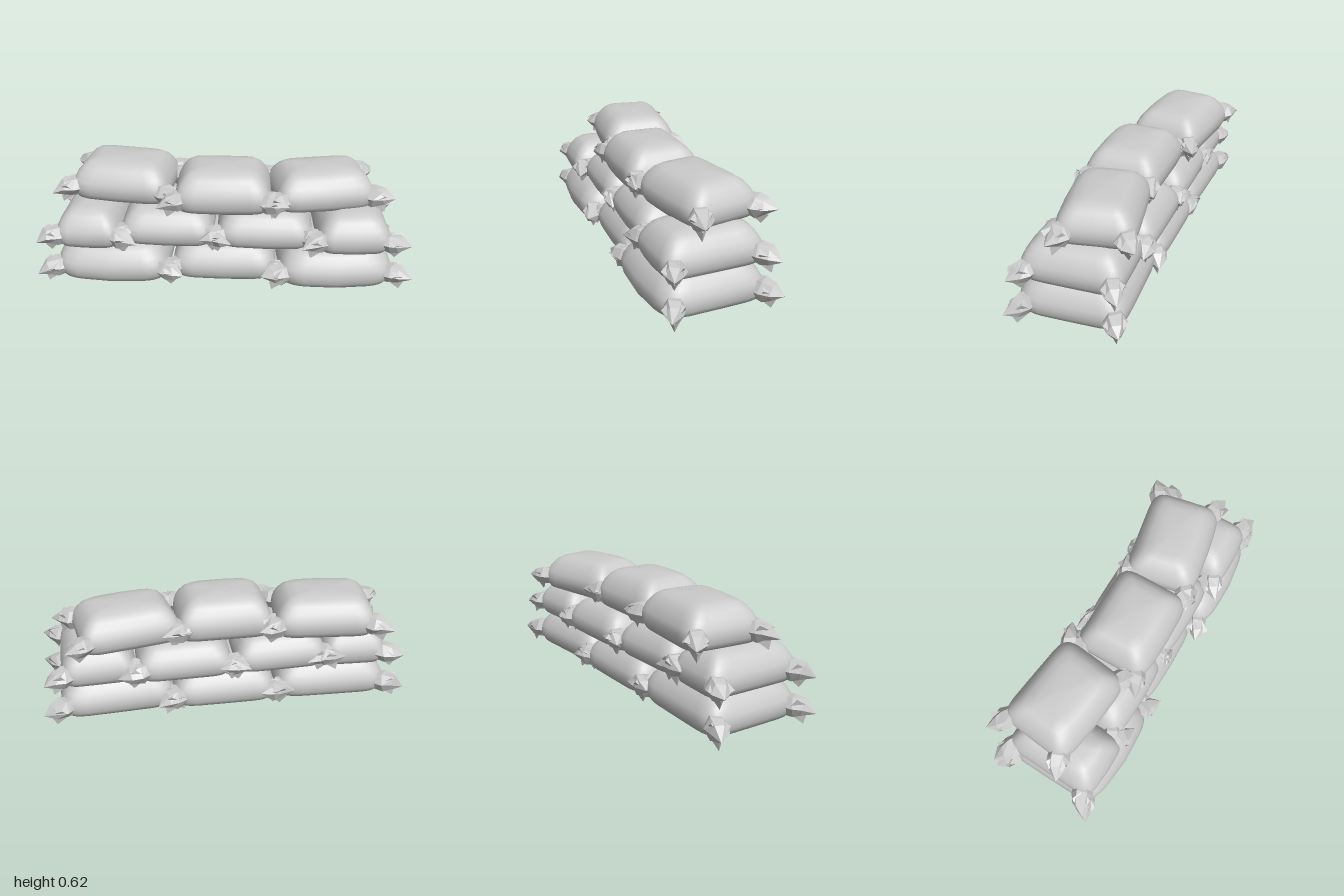
import * as THREE from 'three';

const smooth = new THREE.MeshStandardMaterial({ color: 0xcccccc });
const faceted = new THREE.MeshStandardMaterial({ color: 0xcccccc, flatShading: true, side: THREE.DoubleSide });

// Small seeded generator for the crumpled cloth
let seed = 7;
const rand = (a, b) => {
  seed = (seed * 16807) % 2147483647;
  return a + (b - a) * (seed / 2147483647);
};

function makeGeometry(positions, index) {
  const g = new THREE.BufferGeometry();
  g.setAttribute('position', new THREE.Float32BufferAttribute(positions, 3));
  g.setIndex(index);
  g.computeVertexNormals();
  return g;
}

// Bag profile: [inset from the outline, height fraction]
const PROFILE = [
  [0.02, 0], [0.006, 0.14], [0, 0.32], [0.007, 0.48], [0.025, 0.66],
  [0.05, 0.82], [0.08, 0.93], [0.125, 0.985],
];

// Filled sack: squarish rings stacked along the profile, flat underneath;
// belly pushes out the middle of its front
function sackGeometry(w, h, d, belly) {
  const n = 40, pos = [], idx = [];
  const bend = (v) => Math.sign(v) * Math.abs(v) ** 0.29;
  for (const [inset, y] of PROFILE) {
    for (let i = 0; i < n; i++) {
      const a = (i / n) * Math.PI * 2;
      const u = bend(Math.cos(a)), v = bend(Math.sin(a));
      const push = v > 0 ? belly * v * (1 - u * u) : 0;
      pos.push(u * (w / 2 - inset), y * h, v * (d / 2 - inset) + push);
    }
  }
  for (let r = 0; r < PROFILE.length - 1; r++) {
    for (let i = 0; i < n; i++) {
      const a = r * n + i, b = r * n + ((i + 1) % n);
      idx.push(a, a + n, b, b, a + n, b + n);
    }
  }
  // Centre points close the top and the bottom
  const top = PROFILE.length * n, last = top - n;
  pos.push(0, h * 1.01, 0, 0, 0, 0);
  for (let i = 0; i < n; i++) {
    const j = (i + 1) % n;
    idx.push(last + i, top, last + j, i, j, top + 1);
  }
  return makeGeometry(pos, idx);
}

// Gathered corner: a crumpled knot along +z with three broad folded petals
function earGeometry() {
  const n = 6, pos = [], idx = [];
  const loops = [[0.05, -0.04], [0.058, 0.02], [0.044, 0.07]];
  for (const [r, z] of loops) {
    for (let i = 0; i < n; i++) {
      const a = (i / n) * Math.PI * 2, k = r * rand(0.88, 1.12);
      pos.push(Math.cos(a) * k, Math.sin(a) * k, z + rand(-0.012, 0.012));
    }
  }
  for (let r = 0; r < loops.length - 1; r++) {
    for (let i = 0; i < n; i++) {
      const a = r * n + i, b = r * n + ((i + 1) % n);
      idx.push(a, b, a + n, b, b + n, a + n);
    }
  }
  const tip = pos.length / 3;
  pos.push(rand(-0.02, 0.02), rand(-0.03, 0.01), 0.13);
  for (let i = 0; i < n; i++) idx.push(tip - n + i, tip - n + ((i + 1) % n), tip);
  // Petals: two triangles folded along a ridge, the first hanging down
  for (let p = 0; p < 3; p++) {
    const a = -Math.PI / 2 + p * (Math.PI * 2 / 3) + (p ? rand(-0.4, 0.4) : 0);
    const at = (ang, r, z) => pos.push(Math.cos(ang) * r, Math.sin(ang) * r, z);
    const s = pos.length / 3;
    at(a - 0.75, 0.05, 0.015);
    at(a, 0.035, 0.085);
    at(a + 0.75, 0.05, 0.015);
    at(a, p ? rand(0.056, 0.066) : 0.085, rand(0.04, 0.08));
    idx.push(s, s + 3, s + 1, s + 1, s + 3, s + 2);
  }
  return makeGeometry(pos, idx);
}

function makeBag(name, { x, y, z, w, h, d, turn = 0, tilt = 0, belly = 0.012 }) {
  const bag = new THREE.Group();
  bag.name = name;
  const sack = new THREE.Mesh(sackGeometry(w, h, d, belly), smooth);
  sack.name = 'sack';
  bag.add(sack);
  for (const sx of [-1, 1]) {
    for (const sz of [-1, 1]) {
      const ear = new THREE.Mesh(earGeometry(), faceted);
      ear.name = 'tiedCorner';
      ear.position.set(sx * (w / 2 - 0.025), 0.29 * h, sz * (d / 2 - 0.045));
      ear.rotation.y = Math.atan2(sx * 2.1, sz);
      bag.add(ear);
    }
  }
  bag.position.set(x, y, z);
  bag.rotation.set(0, turn, tilt);
  return bag;
}

// Rows of bags from bottom to top
const ROWS = {
  bottomBag: [
    { x: -0.59, y: 0.035, z: 0.005, w: 0.61, h: 0.2, d: 0.54, turn: -0.03, belly: 0.035 },
    { x: 0.005, y: 0.035, z: -0.01, w: 0.56, h: 0.195, d: 0.51 },
    { x: 0.59, y: 0.035, z: 0.01, w: 0.61, h: 0.2, d: 0.54, turn: 0.06, belly: 0.035 },
  ],
  middleBag: [
    { x: -0.71, y: 0.22, z: 0.005, w: 0.35, h: 0.2, d: 0.52, turn: -0.04 },
    { x: -0.3, y: 0.225, z: -0.015, w: 0.5, h: 0.19, d: 0.49, tilt: -0.02 },
    { x: 0.22, y: 0.22, z: -0.02, w: 0.51, h: 0.19, d: 0.5, tilt: -0.01 },
    { x: 0.68, y: 0.22, z: 0.005, w: 0.39, h: 0.2, d: 0.52, turn: 0.05 },
  ],
  topBag: [
    { x: -0.54, y: 0.422, z: -0.085, w: 0.53, h: 0.2, d: 0.41, turn: -0.12, tilt: -0.015 },
    { x: -0.005, y: 0.405, z: 0, w: 0.51, h: 0.21, d: 0.41 },
    { x: 0.515, y: 0.41, z: -0.045, w: 0.53, h: 0.195, d: 0.39, turn: 0.19 },
  ],
};

export function createModel() {
  seed = 7;
  const model = new THREE.Group();
  model.name = 'sandbagWall';
  for (const [name, bags] of Object.entries(ROWS)) {
    bags.forEach((b, i) => model.add(makeBag(`${name}${i + 1}`, b)));
  }
  return model;
}
